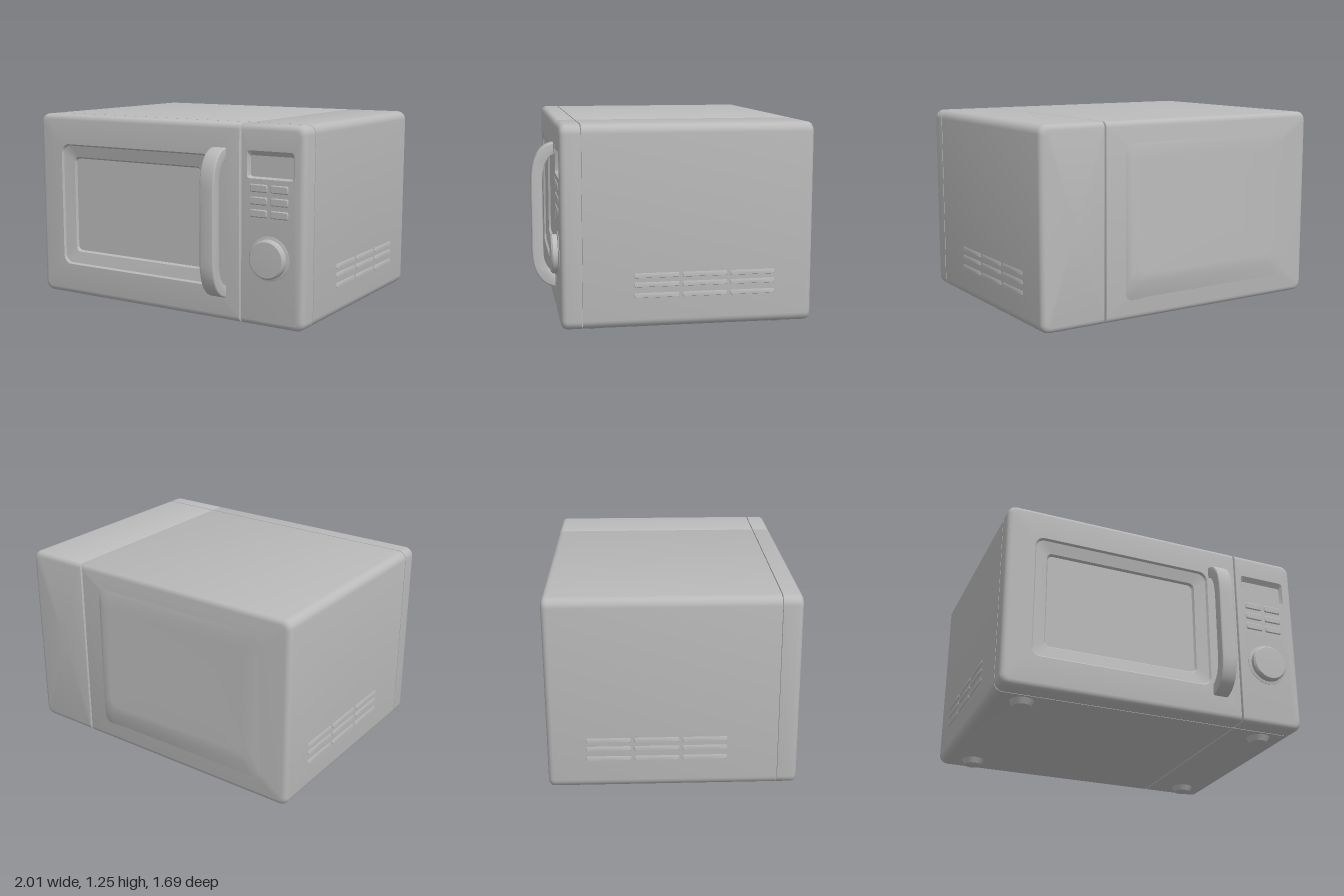
import * as THREE from 'three';
import { toCreasedNormals } from 'three/addons/utils/BufferGeometryUtils.js';

const Y0 = 0.035, Y1 = 1.245;

// One rounded-rectangle ring: rl / rr are the corner radii on the -x / +x side.
function ring(x0, x1, y0, y1, z, rl, rr = rl) {
  const pts = [], n = 6;
  const corners = [[x1 - rr, y0 + rr, rr, -0.5], [x1 - rr, y1 - rr, rr, 0],
    [x0 + rl, y1 - rl, rl, 0.5], [x0 + rl, y0 + rl, rl, 1]];
  for (const [cx, cy, r, start] of corners) {
    for (let i = 0; i <= n; i++) {
      const a = Math.PI * (start + 0.5 * i / n);
      pts.push(new THREE.Vector3(cx + r * Math.cos(a), cy + r * Math.sin(a), z));
    }
  }
  return pts;
}

// Skin a run of rings (back to front, or inward) and close both ends.
function loft(rings, crease = 0.6) {
  const pos = [], index = [], n = rings[0].length;
  rings.forEach(r => r.forEach(p => pos.push(p.x, p.y, p.z)));
  for (let i = 0; i < rings.length - 1; i++) {
    for (let j = 0; j < n; j++) {
      const k = (j + 1) % n, a = i * n, b = a + n;
      index.push(a + j, a + k, b + k, a + j, b + k, b + j);
    }
  }
  [[0, true], [rings.length - 1, false]].forEach(([i, flip]) => {
    const c = new THREE.Vector3();
    rings[i].forEach(p => c.addScaledVector(p, 1 / n));
    const id = pos.length / 3;
    pos.push(c.x, c.y, c.z);
    for (let j = 0; j < n; j++) {
      const a = i * n + j, b = i * n + (j + 1) % n;
      if (flip) index.push(id, b, a); else index.push(id, a, b);
    }
  });
  const g = new THREE.BufferGeometry();
  g.setAttribute('position', new THREE.Float32BufferAttribute(pos, 3));
  g.setIndex(index);
  return toCreasedNormals(g, crease);
}

export function createModel() {
  const model = new THREE.Group();
  model.name = 'microwaveOven';
  const grey = new THREE.MeshStandardMaterial({ color: 0xbababa });
  grey.name = 'casing grey';
  const add = (name, geometry, x = 0, y = 0, z = 0) => {
    const m = new THREE.Mesh(geometry, grey);
    m.name = name;
    m.position.set(x, y, z);
    model.add(m);
    return m;
  };

  // The casing is split by a vertical seam; only outer edges are rounded.
  const sections = [{ x0: -1, x1: 0.566, l: 1, r: 0 }, { x0: 0.574, x1: 1, l: 0, r: 1 }];
  const sectionRing = (s, inset, z) => ring(
    s.x0 + (s.l ? inset : inset * 0.12), s.x1 - (s.r ? inset : inset * 0.12),
    Y0 + inset, Y1 - inset, z, s.l ? 0.055 - inset * 0.6 : 0.005, s.r ? 0.055 - inset * 0.6 : 0.005);
  const bevel = [0, 1, 2, 3, 4].map(i => i * Math.PI / 8);
  const R = 0.035;
  const frontRings = s => [sectionRing(s, 0, 0.584),
    ...bevel.map(a => sectionRing(s, R * (1 - Math.cos(a)), 0.705 - R + R * Math.sin(a)))];
  const backRings = s => [
    ...bevel.map(a => sectionRing(s, R * (1 - Math.sin(a)), -0.81 + R * (1 - Math.cos(a)))),
    sectionRing(s, 0, 0.578)];

  add('mainBody', loft(backRings(sections[0])));
  add('controlBody', loft(backRings(sections[1])));
  // Inner core closes the bottoms of the seams
  add('seamCore', new THREE.BoxGeometry(1.96, 1.17, 1.43), 0, 0.64, -0.055);

  // Door with a sloping window frame and a dished pane
  add('door', loft([...frontRings(sections[0]),
    ring(-0.82, 0.36, 0.24, 1.05, 0.705, 0.06),
    ring(-0.81, 0.35, 0.25, 1.04, 0.692, 0.055),
    ring(-0.735, 0.275, 0.325, 0.965, 0.675, 0.035),
    ring(-0.725, 0.265, 0.335, 0.955, 0.66, 0.03),
    ring(-0.55, 0.09, 0.45, 0.84, 0.625, 0.08)]));

  // Control panel with a recessed display
  add('controlPanel', loft([...frontRings(sections[1]),
    ring(0.615, 0.93, 0.925, 1.09, 0.705, 0.02),
    ring(0.63, 0.915, 0.935, 1.06, 0.682, 0.012)]));

  // Two columns of flat buttons
  for (const x of [0.695, 0.835]) {
    for (const y of [0.87, 0.795, 0.72]) {
      add('button', loft([ring(-0.06, 0.06, -0.025, 0.025, 0, 0.01),
        ring(-0.053, 0.053, -0.018, 0.018, 0.007, 0.008)]), x, y, 0.704);
    }
  }

  // Timer dial
  const dial = new THREE.LatheGeometry([[0.135, 0], [0.135, 0.008], [0.118, 0.012],
    [0.118, 0.04], [0.108, 0.05], [0, 0.054]].map(p => new THREE.Vector2(...p)), 40);
  dial.rotateX(Math.PI / 2);
  add('dial', toCreasedNormals(dial, 0.6), 0.77, 0.455, 0.7);

  // Bowed door handle: side profile drawn with x = -z
  const bow = new THREE.Shape();
  bow.moveTo(-0.695, 1.09);
  bow.bezierCurveTo(-0.79, 1.08, -0.84, 1.0, -0.84, 0.84);
  bow.lineTo(-0.84, 0.42);
  bow.bezierCurveTo(-0.84, 0.28, -0.79, 0.2, -0.695, 0.185);
  bow.lineTo(-0.695, 0.245);
  bow.bezierCurveTo(-0.75, 0.26, -0.785, 0.32, -0.785, 0.42);
  bow.lineTo(-0.785, 0.84);
  bow.bezierCurveTo(-0.785, 0.95, -0.75, 1.02, -0.695, 1.03);
  bow.closePath();
  const handle = new THREE.ExtrudeGeometry(bow, { depth: 0.08, bevelEnabled: true,
    bevelSize: 0.008, bevelThickness: 0.01, bevelSegments: 3, curveSegments: 12 });
  handle.rotateY(Math.PI / 2);
  add('doorHandle', toCreasedNormals(handle, 0.6), 0.38, 0, 0);

  // Raised rear panel, thickest near its lower inner corner
  const swell = p => {
    const h = (0.006 + 0.03 * Math.min(1, 1 - (p.y - 0.3) / 0.8))
      * (0.3 + 0.7 * Math.min(1, Math.max(0, (p.x + 0.8) / 0.8)));
    p.z = -0.81 - h;
    return p;
  };
  add('rearPanel', loft([ring(-0.7, 0.34, 0.32, 1.0, 0, 0.06).map(swell),
    ring(-0.76, 0.4, 0.26, 1.08, 0, 0.06).map(swell),
    ring(-0.82, 0.43, 0.15, 1.12, -0.808, 0.05)], 1));

  // Three broken rows of vent louvres on each side
  for (const side of [-1, 1]) {
    for (const y of [0.235, 0.3, 0.355]) {
      for (const z of [0.14, -0.15, -0.44]) {
        const g = loft([ring(-0.138, 0.138, -0.016, 0.016, 0, 0.012),
          ring(-0.13, 0.13, -0.013, 0.003, 0.006, 0.006)]);
        add('ventLouvre', g, side * 0.999, y, z).rotation.y = side * Math.PI / 2;
      }
    }
  }

  // Feet
  for (const x of [-0.8, 0.8]) {
    for (const z of [0.485, -0.64]) {
      add('foot', toCreasedNormals(new THREE.CylinderGeometry(0.08, 0.055, 0.045, 16), 0.6), x, 0.0225, z);
    }
  }
  return model;
}
